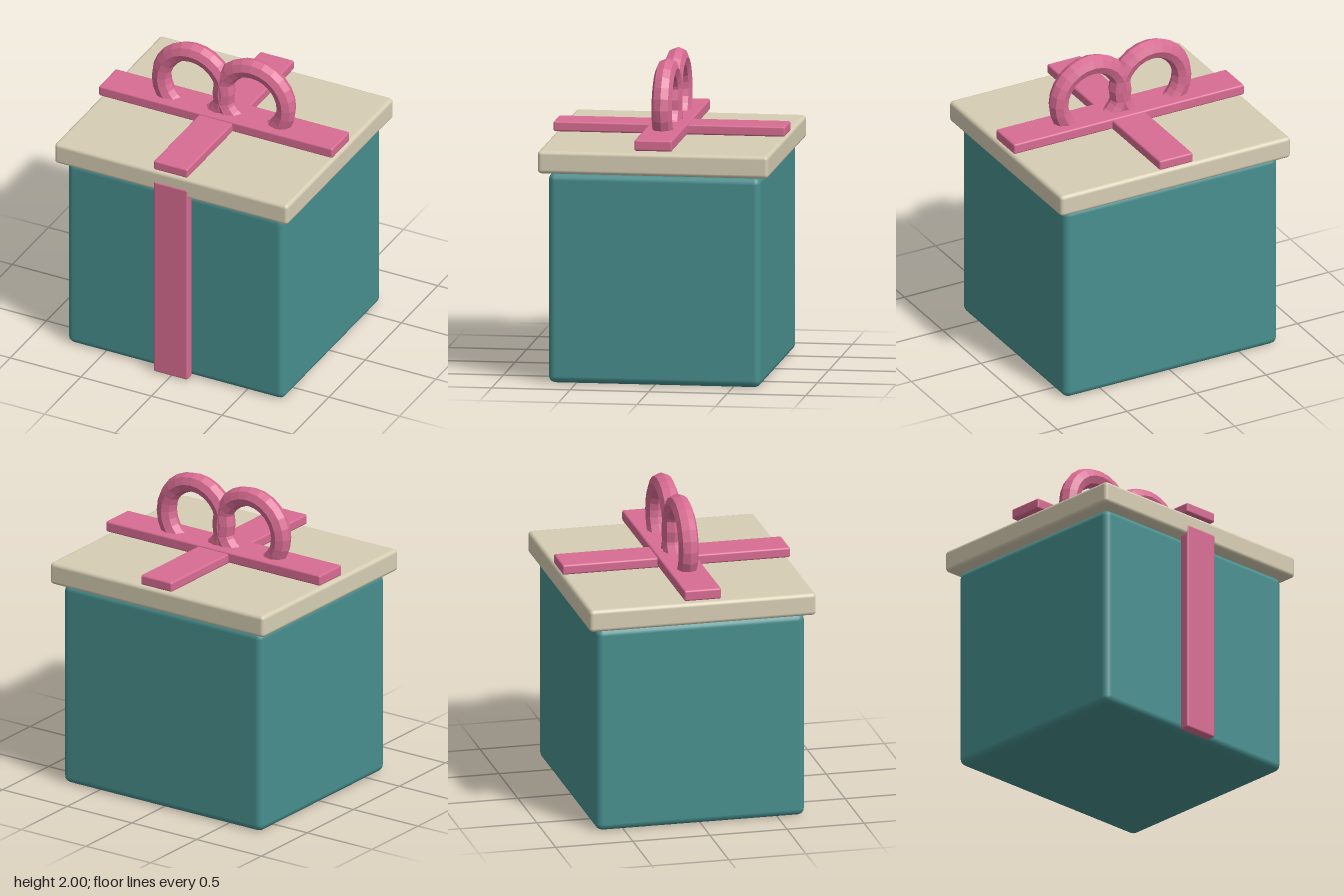
import * as THREE from 'three';
import { RoundedBoxGeometry } from 'three/addons/geometries/RoundedBoxGeometry.js';

const paint = (color) => new THREE.MeshStandardMaterial({ color });

export function createModel() {
  const group = new THREE.Group();
  const teal = paint(0x478f8e);
  const cream = paint(0xd6cdb3);
  const pink = paint(0xd86c92);

  // bevelled block given by its min and max corners
  function block(name, min, max, bevel, material) {
    const size = max.map((v, i) => v - min[i]);
    const mesh = new THREE.Mesh(new RoundedBoxGeometry(...size, 2, bevel), material);
    mesh.position.set(...max.map((v, i) => (v + min[i]) / 2));
    mesh.name = name;
    group.add(mesh);
  }

  // box and overhanging lid
  block('boxBody', [-0.768, 0, -0.677], [0.768, 1.34, 0.677], 0.045, teal);
  block('lid', [-0.827, 1.345, -0.735], [0.827, 1.49, 0.735], 0.025, cream);

  // ribbons: one down the front, two crossing above the lid
  block('frontRibbon', [-0.12, 0.006, 0.672], [0.12, 1.41, 0.74], 0.012, pink);
  block('lidRibbonAcross', [-0.828, 1.506, -0.122], [0.828, 1.576, 0.118], 0.012, pink);
  block('lidRibbonAlong', [-0.12, 1.5, -0.738], [0.12, 1.565, 0.738], 0.012, pink);

  // bow: two faceted loops sunk into the lid
  const bowMaterial = pink.clone();
  bowMaterial.flatShading = true;
  const loop = new THREE.TorusGeometry(0.227, 0.065, 8, 24);
  for (const side of [1, -1]) {
    const mesh = new THREE.Mesh(loop, bowMaterial);
    mesh.position.set(side * 0.215, 1.708, 0);
    mesh.name = side > 0 ? 'leftBowLoop' : 'rightBowLoop';
    group.add(mesh);
  }
  return group;
}
